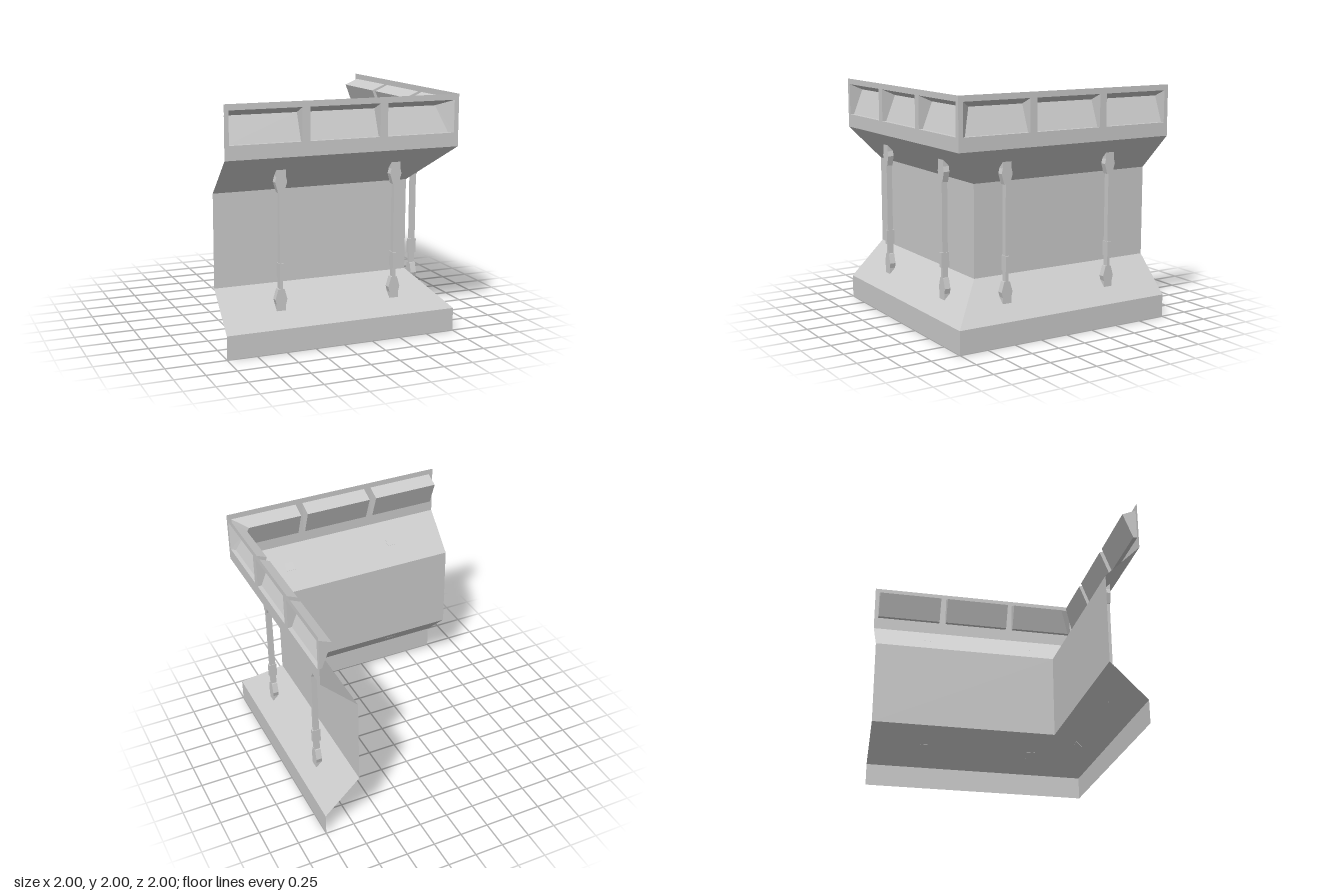
import * as THREE from 'three';

const material = new THREE.MeshStandardMaterial({ color: 0xcccccc, flatShading: true, side: THREE.DoubleSide });

function mesh(name, geometry) {
  const m = new THREE.Mesh(geometry, material);
  m.name = name;
  return m;
}

// Flat faces from a list of four-cornered loops
function quads(list) {
  const points = list.flatMap(([a, b, c, d]) => [a, b, c, a, c, d]).flat();
  const g = new THREE.BufferGeometry();
  g.setAttribute('position', new THREE.Float32BufferAttribute(points, 3));
  g.computeVertexNormals();
  return g;
}

// Wall section as [depth, height]; each strip is mitred at the corner where x = z
const profile = [[1, 0], [1, 0.195], [0.692, 0.497], [0.692, 1.267], [1, 1.57]];

function wallSheet() {
  return quads(profile.slice(1).map(([d1, y1], i) => {
    const [d0, y0] = profile[i];
    return [[-1, y0, d0], [d0, y0, d0], [d1, y1, d1], [-1, y1, d1]];
  }));
}

// Window openings along the parapet: start, end, mitred end or not
const windows = [[-0.963, -0.367, false], [-0.303, 0.298, false], [0.362, 0.96, true]];
const sill = 1.685, head = 1.952;

function parapetPanel() {
  const rect = (P, x0, x1, y0, y1) => new P([[x0, y0], [x1, y0], [x1, y1], [x0, y1]].map(p => new THREE.Vector2(...p)));
  const shape = rect(THREE.Shape, -1, 1, 1.57, 2);
  for (const [x0, x1] of windows) shape.holes.push(rect(THREE.Path, x0, x1, sill, head));
  return new THREE.ShapeGeometry(shape).translate(0, 0, 1);
}

// Wedge-shaped recess behind an opening
function recess([x0, x1, mitred]) {
  const low = mitred ? x1 - 0.035 : x1, high = mitred ? x1 - 0.115 : x1;
  const rim = [[x0, sill, 1], [x1, sill, 1], [x1, head, 1], [x0, head, 1]];
  const inner = [[x0, sill, 0.965], [low, sill, 0.965], [high, 1.9, 0.88], [x0, 1.9, 0.88]];
  const sides = rim.map((p, i) => [p, rim[(i + 1) % 4], inner[(i + 1) % 4], inner[i]]);
  return quads([inner, ...sides]);
}

// Lower bracket: angular outline whose foot is cut to sit on the sloped wall
const back = 0.831, front = 0.882;
function bracketGeometry() {
  const half = [[0.04, 0.308], [0.04, 0.362], [0.051, 0.405], [0.026, 0.49]];
  const outline = [...half, ...half.map(([x, y]) => [-x, y]).reverse()];
  const g = new THREE.ExtrudeGeometry(new THREE.Shape(outline.map(p => new THREE.Vector2(...p))),
    { depth: front - back, bevelEnabled: false });
  g.translate(0, 0, back);
  const p = g.attributes.position;
  for (let i = 0; i < p.count; i++) {
    if (p.getZ(i) < back + 0.001 && p.getY(i) < 0.32) p.setY(i, 0.358);
  }
  g.computeVertexNormals();
  return g;
}

function strut(x) {
  const g = new THREE.Group();
  g.name = 'strut';
  const mid = (back + front) / 2;
  const rod = mesh('rod', new THREE.BoxGeometry(0.026, 0.8, 0.05));
  rod.position.set(0, 0.882, mid);
  const sleeve = mesh('sleeve', new THREE.BoxGeometry(0.034, 0.124, 0.07));
  sleeve.position.set(0, 0.637, mid);
  const lower = mesh('lowerBracket', bracketGeometry());
  // Upper bracket is the lower one turned over
  const upper = mesh('upperBracket', bracketGeometry());
  upper.scale.y = -1;
  upper.position.y = 1.763;
  g.add(rod, sleeve, lower, upper);
  g.position.x = x;
  return g;
}

function wing(name) {
  const g = new THREE.Group();
  g.name = name;
  g.add(mesh('wallSheet', wallSheet()), mesh('parapetPanel', parapetPanel()));
  for (const w of windows) g.add(mesh('windowRecess', recess(w)));
  for (const x of [-0.5, 0.5]) g.add(strut(x));
  return g;
}

export function createModel() {
  const model = new THREE.Group();
  model.name = 'cornerWall';
  const frontWing = wing('frontWing');
  // Side wing mirrors the front one across the corner diagonal
  const sideWing = wing('sideWing');
  sideWing.scale.x = -1;
  sideWing.rotation.y = Math.PI / 2;
  model.add(frontWing, sideWing);
  return model;
}
